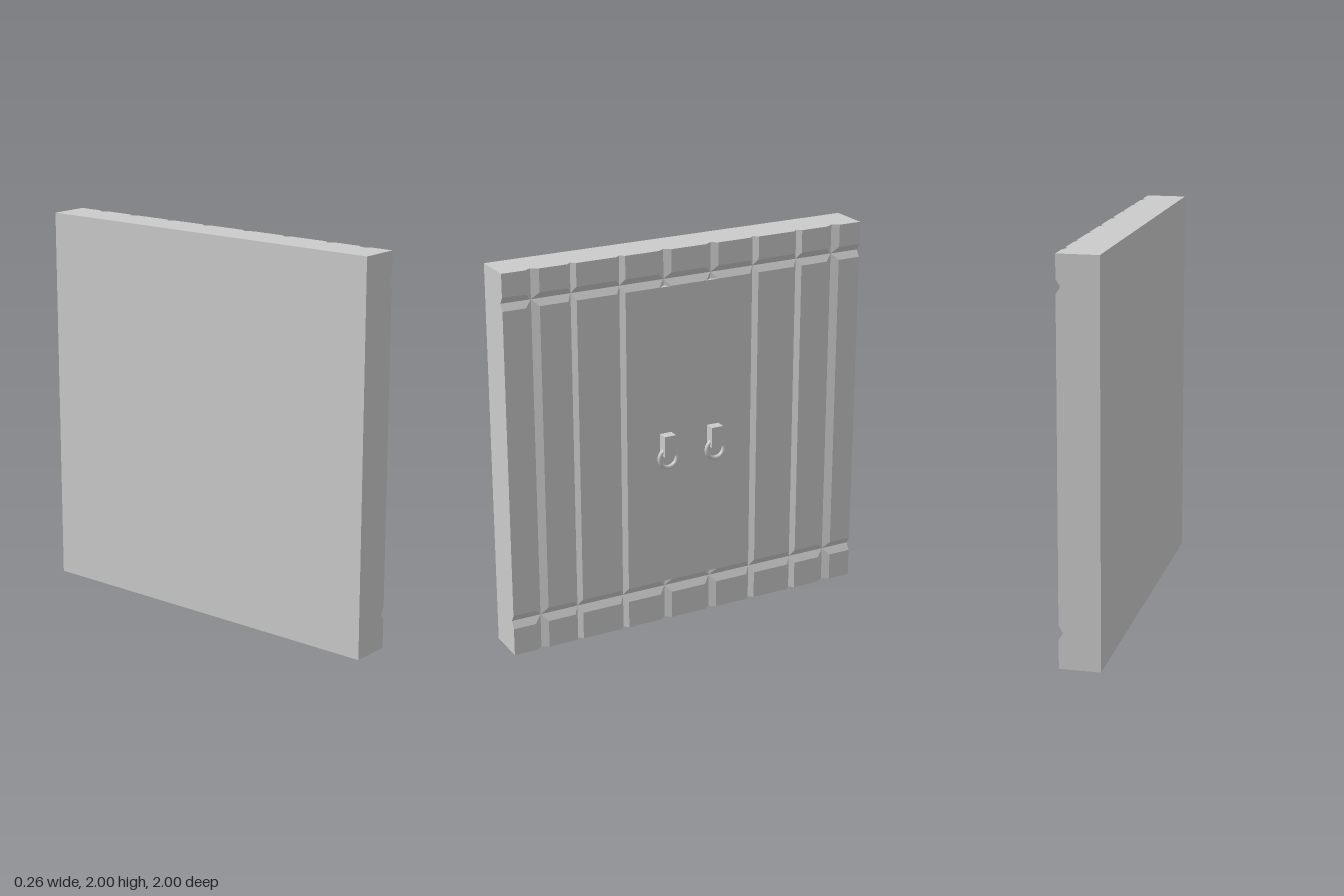
import * as THREE from 'three';

const BACK = -0.13, FACE = 0.077, DEPTH = 0.022;

// Groove centres and half widths; short ones only run above and below the cross grooves
const vertical = [
  { at: 0.843, half: 0.036 }, { at: 0.636, half: 0.022 }, { at: 0.375, half: 0.023 },
  { at: 0.133, half: 0.033, short: true }, { at: -0.131, half: 0.034, short: true },
  { at: -0.373, half: 0.024 }, { at: -0.628, half: 0.023 }, { at: -0.839, half: 0.037 },
];
const horizontal = [{ at: 0.183, half: 0.037 }, { at: 1.848, half: 0.034 }];
const SHORT_LOW = 0.22, SHORT_HIGH = 1.814;

const tent = (v, g) => Math.max(0, 1 - Math.abs(v - g.at) / g.half);
const isShortRange = (y) => y <= SHORT_LOW || y >= SHORT_HIGH;

// Depth is the deepest groove at a point
function faceX(z, y) {
  let d = 0;
  for (const g of vertical) if (!g.short || isShortRange(y)) d = Math.max(d, tent(z, g));
  for (const g of horizontal) d = Math.max(d, tent(y, g));
  return FACE - DEPTH * d;
}

function lines(grooves, lo, hi, extra = []) {
  const all = [lo, hi, ...extra];
  for (const g of grooves) all.push(g.at - g.half, g.at, g.at + g.half);
  return [...new Set(all)].sort((a, b) => a - b);
}

function slabGeometry() {
  const zs = lines(vertical, -1, 1);
  const ys = lines(horizontal, 0, 2, [SHORT_LOW, SHORT_LOW + 0.0005, SHORT_HIGH, SHORT_HIGH - 0.0005]);
  const pos = [];
  const tri = (a, b, c) => pos.push(...a, ...b, ...c);
  const quad = (a, b, c, d) => { tri(a, b, c); tri(a, c, d); };
  const front = (z, y) => [faceX(z, y), y, z];
  const back = (z, y) => [BACK, y, z];

  // Grooved face: each cell is split along the diagonal from its highest corner
  for (let i = 0; i < zs.length - 1; i++) {
    for (let j = 0; j < ys.length - 1; j++) {
      const a = front(zs[i], ys[j]), b = front(zs[i], ys[j + 1]);
      const c = front(zs[i + 1], ys[j + 1]), d = front(zs[i + 1], ys[j]);
      if (Math.max(a[0], c[0]) >= Math.max(b[0], d[0]) && a[0] !== c[0]) quad(a, b, c, d);
      else quad(b, c, d, a);
    }
  }
  // Top and bottom edges
  for (let i = 0; i < zs.length - 1; i++) {
    const p = zs[i], q = zs[i + 1];
    quad(back(p, 2), back(q, 2), front(q, 2), front(p, 2));
    quad(back(p, 0), front(p, 0), front(q, 0), back(q, 0));
  }
  // Side edges
  for (let j = 0; j < ys.length - 1; j++) {
    const p = ys[j], q = ys[j + 1];
    quad(back(1, p), front(1, p), front(1, q), back(1, q));
    quad(back(-1, p), back(-1, q), front(-1, q), front(-1, p));
  }
  // Flat back
  quad(back(-1, 0), back(1, 0), back(1, 2), back(-1, 2));

  const geo = new THREE.BufferGeometry();
  geo.setAttribute('position', new THREE.Float32BufferAttribute(pos, 3));
  geo.computeVertexNormals();
  return geo;
}

export function createModel() {
  const model = new THREE.Group();
  model.name = 'doubleDoor';
  const material = new THREE.MeshStandardMaterial({ color: 0xcccccc });

  const slab = new THREE.Mesh(slabGeometry(), material);
  slab.name = 'plankedDoorSlab';
  model.add(slab);

  // Ring pulls hanging from square brackets
  for (const side of [1, -1]) {
    const handle = new THREE.Group();
    handle.name = side > 0 ? 'leftHandle' : 'rightHandle';
    const bracket = new THREE.Mesh(new THREE.BoxGeometry(0.055, 0.11, 0.065), material);
    bracket.name = 'handleBracket';
    bracket.position.set(0.1025, 0.99, 0);
    const ring = new THREE.Mesh(new THREE.TorusGeometry(0.05, 0.011, 10, 32), material);
    ring.name = 'handleRing';
    ring.rotation.y = Math.PI / 2;
    ring.position.set(0.105, 0.919, 0);
    handle.add(bracket, ring);
    handle.position.z = side > 0 ? 0.135 : -0.138;
    model.add(handle);
  }
  return model;
}
